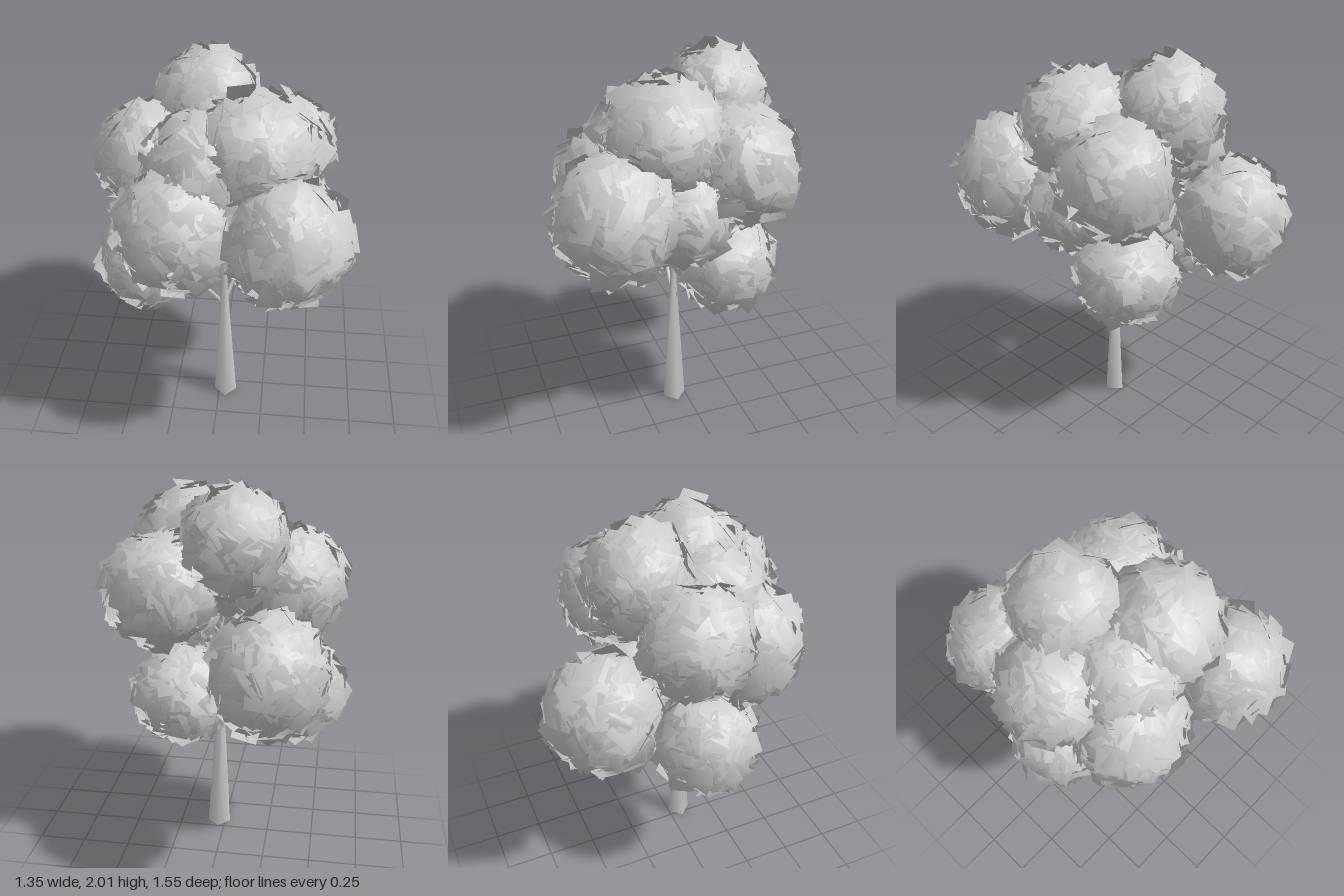
import * as THREE from 'three';

// Foliage clumps: name, centre x, y, z, radius to the leaf tips, height factor
const CLUMPS = [
  ['crownClump', -0.08, 1.71, -0.2, 0.28, 1],
  ['upperClump', 0.18, 1.61, 0.15, 0.315, 1],
  ['backRightClump', 0.28, 1.47, -0.2, 0.3, 1],
  ['sideUpperClump', -0.34, 1.48, -0.02, 0.295, 1],
  ['frontClump', -0.18, 1.28, 0.31, 0.32, 1.04],
  ['frontSideClump', 0.35, 1.33, 0.45, 0.305, 1.08],
  ['backClump', -0.28, 1.16, -0.47, 0.3, 1.06],
  ['lowSideClump', -0.38, 0.89, 0.02, 0.275, 1.06],
  ['lowBackClump', 0.18, 0.91, -0.17, 0.28, 0.94],
  ['innerUpperClump', -0.07, 1.52, 0.16, 0.3, 1],
  ['innerSideClump', 0.28, 1.27, 0.09, 0.26, 1],
];

function seeded(seed) {
  let s = seed;
  return () => (s = (s * 16807) % 2147483647) / 2147483647;
}

// Square leaf cards laid over a ball, each loosely tilted
function leafBall(radius, count, rand) {
  const pos = [], nor = [], idx = [];
  const up = new THREE.Vector3(0, 0, 1);
  const dir = new THREE.Vector3(), p = new THREE.Vector3(), n = new THREE.Vector3();
  const face = new THREE.Vector3();
  const q = new THREE.Quaternion(), tilt = new THREE.Quaternion(), e = new THREE.Euler();
  for (let i = 0; i < count; i++) {
    const y = 1 - (2 * (i + 0.5)) / count, a = i * 2.39996 + rand() * 0.3;
    const s = Math.sqrt(1 - y * y);
    dir.set(Math.cos(a) * s, y, Math.sin(a) * s);
    e.set((rand() - 0.5) * 1.2, (rand() - 0.5) * 1.2, rand() * Math.PI * 2, 'XYZ');
    q.setFromUnitVectors(up, dir).multiply(tilt.setFromEuler(e));
    face.copy(up).applyQuaternion(q);
    const h = 0.046 + rand() * 0.022, r = radius - 0.03 - rand() * 0.04;
    const base = pos.length / 3;
    for (const [u, v] of [[-h, -h], [h, -h], [h, h], [-h, h]]) {
      p.set(u, v, 0).applyQuaternion(q).addScaledVector(dir, r);
      // Normals blend the ball's with the card's own
      n.copy(p).normalize().addScaledVector(face, 0.35).normalize();
      pos.push(p.x, p.y, p.z);
      nor.push(n.x, n.y, n.z);
    }
    idx.push(base, base + 1, base + 2, base, base + 2, base + 3);
  }
  const g = new THREE.BufferGeometry();
  g.setAttribute('position', new THREE.Float32BufferAttribute(pos, 3));
  g.setAttribute('normal', new THREE.Float32BufferAttribute(nor, 3));
  g.setIndex(idx);
  return g;
}

// Tapered four-sided limb between two points
function limb(name, a, b, r0, r1, material) {
  const d = b.clone().sub(a);
  const m = new THREE.Mesh(new THREE.CylinderGeometry(r1, r0, d.length(), 4, 1, true), material);
  m.position.copy(a).add(b).multiplyScalar(0.5);
  m.quaternion.setFromUnitVectors(new THREE.Vector3(0, 1, 0), d.normalize());
  m.name = name;
  return m;
}

export function createModel() {
  const tree = new THREE.Group();
  tree.name = 'tree';
  const bark = new THREE.MeshStandardMaterial({ color: 0xcccccc });
  const leaf = new THREE.MeshStandardMaterial({ color: 0xcccccc, side: THREE.DoubleSide });

  // Trunk, tapering and leaning very slightly
  const foot = new THREE.Vector3(0.035, 0, 0.063);
  const fork = new THREE.Vector3(0.024, 0.76, 0.06);
  const tip = new THREE.Vector3(0.02, 1.35, 0.04);
  tree.add(limb('trunk', foot, fork, 0.063, 0.018, bark));
  tree.add(limb('upperTrunk', fork, tip, 0.018, 0.007, bark));

  // One branch and one leaf ball per clump
  const branches = new THREE.Group();
  branches.name = 'branches';
  const foliage = new THREE.Group();
  foliage.name = 'foliage';
  CLUMPS.forEach(([name, x, y, z, r, tall], i) => {
    const centre = new THREE.Vector3(x, y, z);
    const start = new THREE.Vector3(0.024, THREE.MathUtils.clamp(y - 0.32, 0.64, 1.2), 0.06);
    const end = new THREE.Vector3(x, y + 0.12, z);
    branches.add(limb('branch', start, end, 0.012, 0.005, bark));
    const ball = new THREE.Mesh(leafBall(r, 320, seeded(101 + i * 977)), leaf);
    ball.position.copy(centre);
    ball.scale.y = tall;
    ball.name = name;
    foliage.add(ball);
  });
  tree.add(branches, foliage);
  return tree;
}
